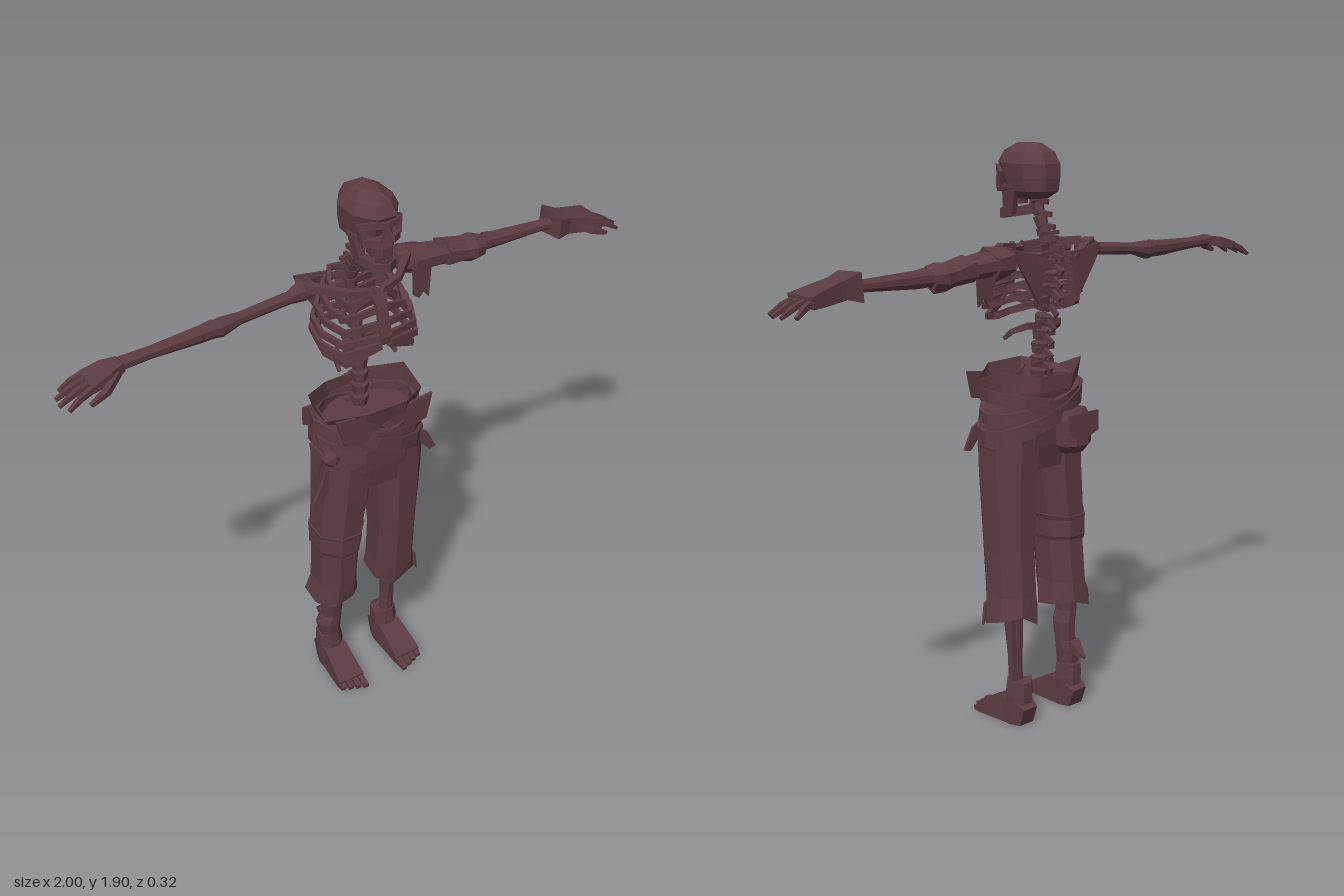
import * as THREE from 'three';

const cloak = new THREE.MeshStandardMaterial({ color: 0x5c3b42, side: THREE.DoubleSide });
cloak.name = 'dark maroon';
const V = (x, y, z) => new THREE.Vector3(x, y, z);
const X = V(1, 0, 0), Y = V(0, 1, 0);

export function createModel() {
  const root = new THREE.Group();
  root.name = 'skeleton';

  const add = (name, geo) => {
    const g = geo.index ? geo.toNonIndexed() : geo;
    g.computeVertexNormals();
    const m = new THREE.Mesh(g, cloak);
    m.name = name;
    root.add(m);
    return m;
  };

  // Faceted skin over rings [x, y, z, ra, rb]; ra lies along ref, rb across it
  const loft = (name, rings, o = {}) => {
    const { n = 4, ref, axis, caps = true, closed = false, jag = [0, 0] } = o;
    const c = rings.map(r => V(r[0], r[1], r[2])), last = c.length - 1;
    const span = c[last].clone().sub(c[0]).normalize();
    const up = ref || (axis || Math.abs(span.y) > 0.7 ? X : Y);
    const pos = [], idx = [];
    rings.forEach((r, i) => {
      const a = c[i - 1] || (closed ? c[last - 1] : c[0]);
      const b = c[i + 1] || (closed ? c[1] : c[last]);
      const t = axis ? axis.clone() : b.clone().sub(a).normalize();
      const u = up.clone().addScaledVector(t, -up.dot(t)).normalize();
      const v = t.clone().cross(u), k = 1 / Math.cos(Math.PI / n);
      for (let j = 0; j < n; j++) {
        const w = (j + 0.5) / n * Math.PI * 2;
        const p = c[i].clone().addScaledVector(u, Math.cos(w) * r[3] * k)
          .addScaledVector(v, Math.sin(w) * (r[4] ?? r[3]) * k);
        if (i === 0) p.y += jag[0] * Math.sin(j * 2.4);
        if (i === last) p.y += jag[1] * Math.sin(j * 2.4 + 1);
        pos.push(p.x, p.y, p.z);
        const q = i * n + j, s = i * n + (j + 1) % n;
        if (i < last) idx.push(q, s, s + n, q, s + n, q + n);
        if (caps && !closed && j > 0 && j < n - 1) {
          if (i === 0) idx.push(0, j + 1, j);
          if (i === last) idx.push(i * n, q, q + 1);
        }
      }
    });
    const g = new THREE.BufferGeometry();
    g.setAttribute('position', new THREE.Float32BufferAttribute(pos, 3));
    g.setIndex(idx);
    return add(name, g);
  };
  const stack = (name, rings, o = {}) => loft(name, rings, { n: 8, axis: Y, ...o });
  const box = (name, w, h, d, x, y, z, rx = 0, rz = 0) => {
    const m = add(name, new THREE.BoxGeometry(w, h, d));
    m.position.set(x, y, z);
    m.rotation.set(rx, 0, rz);
    return m;
  };
  // Thin ragged cloth or flat bone from a 2D outline
  const plate = (name, pts, x, y, z, ry = 0, rx = 0) => {
    const s = new THREE.Shape(pts.map(p => new THREE.Vector2(p[0], p[1])));
    const m = add(name, new THREE.ExtrudeGeometry(s, { depth: 0.009, bevelEnabled: false }));
    m.position.set(x, y, z);
    m.rotation.set(rx, ry, 0);
    return m;
  };

  // Skull
  stack('cranium', [
    [0, 1.735, 0.02, 0.045, 0.06], [0, 1.76, 0.012, 0.066, 0.092], [0, 1.80, 0.016, 0.073, 0.1],
    [0, 1.845, 0.026, 0.078, 0.108], [0, 1.88, 0.024, 0.062, 0.088], [0, 1.905, 0.022, 0.025, 0.045]]);
  loft('upperJaw', [[0, 1.715, 0.09, 0.036, 0.042], [0, 1.745, 0.09, 0.04, 0.045], [0, 1.78, 0.08, 0.045, 0.045]], { n: 8, axis: Y });
  loft('nose', [[0, 1.765, 0.133, 0.012, 0.008], [0, 1.82, 0.122, 0.008, 0.01]]);
  for (const s of [-1, 1]) {
    loft('browRidge', [[0, 1.822, 0.13, 0.01, 0.012], [s * 0.04, 1.828, 0.12, 0.01, 0.012], [s * 0.068, 1.81, 0.08, 0.009, 0.01]]);
    loft('cheekbone', [[s * 0.018, 1.768, 0.128, 0.009, 0.01], [s * 0.052, 1.765, 0.105, 0.012, 0.01], [s * 0.073, 1.775, 0.03, 0.007, 0.007]]);
    loft('orbitSide', [[s * 0.06, 1.765, 0.095, 0.009, 0.01], [s * 0.068, 1.82, 0.085, 0.008, 0.01]]);
    loft('jawRamus', [[s * 0.05, 1.69, 0.06, 0.009, 0.018], [s * 0.06, 1.765, 0.035, 0.008, 0.015]]);
    loft('jawBody', [[s * 0.052, 1.695, 0.05, 0.016, 0.009], [s * 0.032, 1.682, 0.115, 0.015, 0.009], [0, 1.68, 0.135, 0.016, 0.009]], { ref: Y });
  }
  for (let i = -2; i <= 2; i++) {
    box('upperTooth', 0.01, 0.018, 0.01, i * 0.012, 1.716, 0.13 - i * i * 0.004);
    box('lowerTooth', 0.01, 0.014, 0.01, i * 0.012, 1.698, 0.13 - i * i * 0.004);
  }

  // Spine
  const spine = new THREE.CatmullRomCurve3([
    V(0, 1.08, -0.02), V(0, 1.2, -0.02), V(0, 1.32, -0.03), V(0, 1.45, -0.06),
    V(0, 1.56, -0.07), V(0, 1.64, -0.04), V(0, 1.74, 0)]);
  for (let i = 0; i < 17; i++) {
    const p = spine.getPoint(i / 16), t = spine.getTangent(i / 16);
    const r = 0.032 - i * 0.0006, tilt = Math.atan2(t.z, t.y);
    const m = add('vertebra', new THREE.CylinderGeometry(r, r * 0.8, 0.034, 6));
    m.position.copy(p);
    m.rotation.x = tilt;
    box('spinousProcess', 0.012, 0.016, 0.05, 0, p.y - 0.012, p.z - 0.035, tilt - 0.45);
    if (i < 14) box('transverseProcess', 0.085, 0.012, 0.014, 0, p.y, p.z - 0.018);
  }

  // Rib cage
  loft('sternum', [[0, 1.415, 0.125, 0.012, 0.007], [0, 1.44, 0.128, 0.02, 0.008],
    [0, 1.53, 0.105, 0.017, 0.008], [0, 1.58, 0.075, 0.03, 0.009]]);
  const ribs = [[1.595, 0.095, 0.085, 0.01], [1.565, 0.125, 0.1, 0.04], [1.53, 0.145, 0.115, 0.05],
    [1.495, 0.16, 0.125, 0.055], [1.46, 0.165, 0.13, 0.045], [1.425, 0.15, 0.125, 0.015]];
  for (const s of [-1, 1]) {
    ribs.forEach(([y, w, f, drop]) => {
      const k = 0.011;
      loft('rib', [[s * 0.015, y, -0.075, k, 0.007], [s * w * 0.65, y - 0.005, -0.095, k, 0.007],
        [s * w * 0.97, y - 0.025, -0.045, k, 0.007], [s * w, y - 0.05, 0.02, k, 0.007],
        [s * w * 0.8, y - 0.065, f * 0.75, k, 0.007], [s * 0.015, y - drop, f, k, 0.007]], { ref: Y });
    });
    loft('floatingRib', [[s * 0.015, 1.335, -0.04, 0.01, 0.007], [s * 0.07, 1.34, -0.04, 0.01, 0.007],
      [s * 0.1, 1.32, 0.0, 0.009, 0.007], [s * 0.105, 1.295, 0.03, 0.005, 0.005]], { ref: Y });
    loft('collarbone', [[s * 0.02, 1.575, 0.08, 0.012], [s * 0.09, 1.585, 0.06, 0.01], [s * 0.18, 1.59, -0.03, 0.013]], { ref: Y });
    plate('shoulderBlade', [[s * 0.055, 1.57], [s * 0.18, 1.59], [s * 0.165, 1.54], [s * 0.085, 1.42]], 0, 0, -0.113);
    loft('shoulderSpine', [[s * 0.06, 1.55, -0.115, 0.009], [s * 0.19, 1.59, -0.06, 0.014]], { ref: Y });
  }

  // Arms and hands
  for (const s of [-1, 1]) {
    loft('upperArm', [[s * 0.15, 1.572, -0.05, 0.024], [s * 0.185, 1.57, -0.05, 0.032, 0.028], [s * 0.23, 1.56, -0.05, 0.02, 0.016],
      [s * 0.4, 1.545, -0.05, 0.019, 0.015], [s * 0.465, 1.535, -0.05, 0.03, 0.024], [s * 0.485, 1.535, -0.05, 0.026, 0.022]], { n: 8 });
    loft('forearm', [[s * 0.485, 1.538, -0.05, 0.028, 0.024], [s * 0.53, 1.535, -0.048, 0.026, 0.02],
      [s * 0.7, 1.536, -0.038, 0.018, 0.018], [s * 0.8, 1.537, -0.03, 0.019, 0.023]], { n: 8 });
    loft('palm', [[s * 0.795, 1.536, -0.03, 0.015, 0.022], [s * 0.84, 1.53, -0.025, 0.017, 0.04], [s * 0.905, 1.515, -0.025, 0.011, 0.05]]);
    for (let i = 0; i < 4; i++) {
      const z = -0.066 + i * 0.027, len = [0.07, 0.095, 0.1, 0.085][i], e = -0.025 + (z + 0.025) * 1.35;
      loft('finger', [[s * 0.895, 1.518, z, 0.009], [s * (0.9 + len * 0.5), 1.502, (z + e) / 2, 0.008], [s * (0.9 + len), 1.477, e, 0.005]]);
    }
    loft('thumb', [[s * 0.82, 1.53, 0.0, 0.011], [s * 0.87, 1.505, 0.035, 0.01], [s * 0.925, 1.485, 0.045, 0.006]], { ref: Y });
  }
  // Ragged sleeve and wrist wrap on the left arm
  loft('upperSleeve', [[0.165, 1.568, -0.05, 0.032, 0.04], [0.2, 1.56, -0.055, 0.04, 0.055], [0.33, 1.548, -0.05, 0.034, 0.042]], { n: 8 });
  loft('lowerSleeve', [[0.325, 1.55, -0.05, 0.04, 0.05], [0.4, 1.538, -0.05, 0.036, 0.045], [0.435, 1.534, -0.05, 0.042, 0.05], [0.475, 1.53, -0.05, 0.032, 0.035]], { n: 8, jag: [0.008, 0.01] });
  loft('sleeveFold', [[0.19, 1.56, -0.06, 0.042, 0.058], [0.25, 1.555, -0.06, 0.044, 0.055]], { n: 8, jag: [0.008, 0.01] });
  plate('hangingSleeveRag', [[0.2, 1.55], [0.27, 1.55], [0.262, 1.42], [0.24, 1.445], [0.225, 1.425], [0.205, 1.44]], 0, 0, -0.03);
  loft('wristWrap', [[0.74, 1.54, -0.025, 0.038, 0.055], [0.79, 1.535, -0.025, 0.028, 0.042],
    [0.86, 1.522, -0.025, 0.024, 0.05], [0.915, 1.512, -0.025, 0.015, 0.06]], { jag: [0.008, 0.004] });

  // Trousers
  stack('trouserSeat', [[0, 0.87, 0.025, 0.165, 0.095], [0, 0.95, 0.025, 0.188, 0.107],
    [0, 1.03, 0.025, 0.178, 0.112], [0, 1.1, 0.02, 0.152, 0.108]]);
  stack('tornWaist', [[0, 1.08, 0.02, 0.152, 0.11], [0, 1.13, 0.022, 0.165, 0.12], [-0.01, 1.185, 0.03, 0.18, 0.125]], { caps: false, jag: [0, 0.022] });
  plate('waistFlapRight', [[-0.19, 1.2], [-0.12, 1.19], [-0.03, 1.13], [-0.06, 1.08], [-0.16, 1.1]], 0, 0, 0.14);
  plate('waistFlapLeft', [[0.17, 1.18], [0.09, 1.17], [-0.02, 1.12], [0.06, 1.07], [0.15, 1.09]], 0, 0, 0.135);
  stack('rightTrouserLeg', [[-0.125, 0.375, -0.01, 0.083, 0.09], [-0.12, 0.45, 0, 0.07, 0.09], [-0.118, 0.6, 0.012, 0.073, 0.088],
    [-0.115, 0.68, 0.015, 0.08, 0.095], [-0.1, 0.84, 0.022, 0.09, 0.102], [-0.092, 0.98, 0.025, 0.095, 0.107]], { caps: false, jag: [0.015, 0] });
  stack('leftTrouserLeg', [[0.115, 0.375, -0.012, 0.083, 0.088], [0.108, 0.45, 0, 0.073, 0.09], [0.106, 0.6, 0.012, 0.073, 0.092],
    [0.1, 0.84, 0.022, 0.086, 0.102], [0.092, 0.98, 0.025, 0.095, 0.107]], { caps: false, jag: [0.025, 0] });
  stack('kneeWrap', [[-0.118, 0.6, 0.012, 0.075, 0.092], [-0.118, 0.612, 0.012, 0.08, 0.097], [-0.117, 0.67, 0.014, 0.081, 0.098], [-0.115, 0.685, 0.015, 0.086, 0.101]], { jag: [0.004, 0.004] });
  plate('hemRag', [[0.15, 0.44], [0.195, 0.42], [0.203, 0.345], [0.18, 0.375], [0.155, 0.37]], 0, 0, 0.03);

  // Sashes, knot, hanging cloth and pouch
  [[1.05, -0.36, 0.188, 0.129, 0.024], [1.085, -0.24, 0.178, 0.126, 0.018], [1.08, 0.22, 0.172, 0.124, 0.02]].forEach(([y, slope, rx, rz, h]) => {
    const ring = [];
    for (let i = 0; i <= 14; i++) {
      const a = (i % 14) / 14 * Math.PI * 2, x = Math.cos(a) * rx;
      ring.push([x, y + slope * x, 0.022 + Math.sin(a) * rz, h, 0.011]);
    }
    loft('sash', ring, { ref: Y, closed: true });
  });
  const knot = add('sashKnot', new THREE.IcosahedronGeometry(0.036, 0));
  knot.position.set(-0.165, 1.01, 0.07);
  plate('hangingSashEnd', [[-0.18, 1.0], [-0.135, 0.995], [-0.17, 0.9], [-0.21, 0.84], [-0.237, 0.82], [-0.235, 0.85], [-0.2, 0.93]], 0, 0, 0.07);
  plate('sideSashEnd', [[-0.045, 1.02], [0.04, 1.02], [0.02, 0.96], [-0.015, 0.925]], -0.192, 0, 0.02, Math.PI / 2);
  plate('leftSashEnd', [[0.13, 1.03], [0.18, 1.0], [0.215, 0.93], [0.19, 0.925], [0.15, 0.97]], 0, 0, 0.1);
  stack('pouch', [[-0.07, 0.92, -0.105, 0.045, 0.03], [-0.07, 0.945, -0.112, 0.063, 0.04],
    [-0.07, 1.03, -0.108, 0.063, 0.04], [-0.07, 1.06, -0.1, 0.052, 0.03]]);
  plate('pouchFlap', [[-0.065, 1.055], [0.065, 1.055], [0.065, 0.99], [0, 0.965], [-0.065, 0.99]], -0.07, 0, -0.16);

  // Shins, ankles and feet
  stack('rightShinWrap', [[-0.115, 0.12, -0.04, 0.032, 0.032], [-0.12, 0.2, -0.04, 0.042, 0.04], [-0.11, 0.235, -0.035, 0.034, 0.034],
    [-0.11, 0.3, -0.03, 0.038, 0.038], [-0.122, 0.34, -0.028, 0.034, 0.036], [-0.12, 0.45, -0.02, 0.04, 0.042]], { n: 8 });
  loft('wrapEnd', [[-0.115, 0.215, -0.065, 0.025, 0.022], [-0.115, 0.185, -0.125, 0.004, 0.004]], { ref: Y });
  stack('leftShinBone', [[0.118, 0.1, -0.035, 0.025, 0.025], [0.12, 0.2, -0.035, 0.021, 0.024], [0.12, 0.35, -0.025, 0.026, 0.035], [0.12, 0.45, -0.02, 0.033, 0.04]]);
  loft('leftCalfBone', [[0.145, 0.1, -0.05, 0.01], [0.143, 0.42, -0.04, 0.011]]);
  for (const s of [-1, 1]) {
    const x = s * 0.115;
    stack('ankleWrap', [[x, 0.075, -0.045, 0.043, 0.043], [x, 0.1, -0.045, 0.045, 0.044], [x - 0.003, 0.15, -0.045, 0.042, 0.04]], { jag: [0, 0.008] });
    loft('foot', [[x, 0.032, -0.092, 0.032, 0.03], [x, 0.046, -0.05, 0.046, 0.042], [x, 0.046, -0.005, 0.046, 0.042],
      [x + s * 0.003, 0.03, 0.06, 0.03, 0.046], [x + s * 0.004, 0.017, 0.11, 0.017, 0.049]], { ref: Y });
    for (let i = 0; i < 4; i++) {
      const tx = x + s * (-0.033 + i * 0.025);
      loft('toe', [[tx, 0.016, 0.095, 0.015, 0.011], [tx, 0.008, 0.155 - i * 0.01, 0.008, 0.009]], { ref: Y });
    }
  }
  return root;
}
